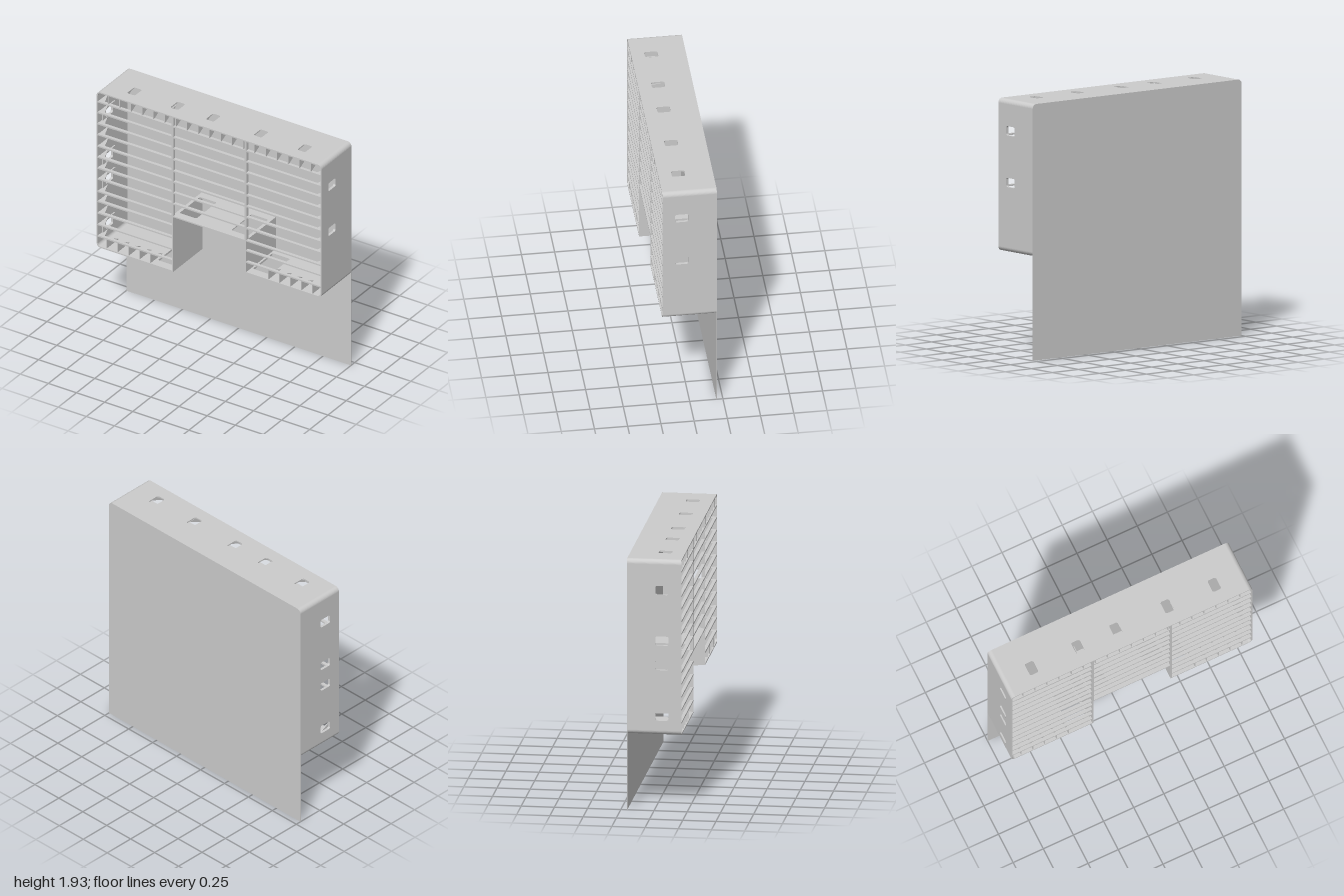
import * as THREE from 'three';

export function createModel() {
  const model = new THREE.Group();
  const mat = new THREE.MeshStandardMaterial({ color: 0xcccccc, side: THREE.DoubleSide });
  const T = 0.01, R = 0.035, D = 0.205, TOP = 1.935, MID = 0.33;
  const FLOOR = { '-1': 0.585, '1': 0.785 }; // underside of each side bay
  const CENTRE = 1.07;

  const add = (name, geo) => {
    const mesh = new THREE.Mesh(geo, mat);
    mesh.name = name;
    model.add(mesh);
    return mesh;
  };
  const box = (name, x0, x1, y0, y1, z0, z1) =>
    add(name, new THREE.BoxGeometry(x1 - x0, y1 - y0, z1 - z0)
      .translate((x0 + x1) / 2, (y0 + y1) / 2, (z0 + z1) / 2));

  // rectangle with rounded corners, used for plates and their openings
  const rect = (path, a0, a1, b0, b1, r) => {
    path.absarc(a1 - r, b1 - r, r, 0, Math.PI / 2);
    path.absarc(a0 + r, b1 - r, r, Math.PI / 2, Math.PI);
    path.absarc(a0 + r, b0 + r, r, Math.PI, Math.PI * 1.5);
    path.absarc(a1 - r, b0 + r, r, Math.PI * 1.5, Math.PI * 2);
    path.closePath();
    return path;
  };
  const plate = (a0, a1, b0, b1, holes, depth) => {
    const s = new THREE.Shape([[a0, b0], [a1, b0], [a1, b1], [a0, b1]].map(p => new THREE.Vector2(...p)));
    for (const h of holes) s.holes.push(rect(new THREE.Path(), ...h, 0.014));
    return new THREE.ExtrudeGeometry(s, { depth, bevelEnabled: false, curveSegments: 4 });
  };
  // horizontal plate: holes given as [x0, x1, z0, z1], y is the underside
  const deck = (name, x0, x1, y, holes = [], z0 = -D, z1 = D, t = T) =>
    add(name, plate(x0, x1, -z1, -z0, holes.map(h => [h[0], h[1], -h[3], -h[2]]), t)
      .rotateX(-Math.PI / 2).translate(0, y, 0));
  // upright side plate: holes given as [z0, z1, y0, y1], x is the lower x face
  const side = (name, x, y0, y1, holes = [], z0 = -D, z1 = D, t = T) =>
    add(name, plate(z0, z1, y0, y1, holes, t).rotateY(-Math.PI / 2).translate(x + t, 0, 0));
  // quarter-round corner running front to back
  const corner = (cx, cy, a) => {
    const s = new THREE.Shape();
    s.absarc(cx, cy, R, a, a + Math.PI / 2, false);
    s.absarc(cx, cy, R - T, a + Math.PI / 2, a, true);
    add('roundedCorner', new THREE.ExtrudeGeometry(s, { depth: 2 * D, bevelEnabled: false, curveSegments: 8 })
      .translate(0, 0, -D));
  };
  // thin triangular web in the (z, height) plane, tallest at the open front
  const web = (len, height) => {
    const s = new THREE.Shape();
    s.moveTo(D - len, 0);
    s.lineTo(D - 0.005, 0);
    s.lineTo(D - 0.005, height);
    s.closePath();
    return new THREE.ExtrudeGeometry(s, { depth: 0.006, bevelEnabled: false })
      .rotateY(-Math.PI / 2).translate(0.003, 0, 0);
  };

  // back panel, rounded only at the top
  const back = new THREE.Shape();
  back.moveTo(-1, 0);
  back.lineTo(1, 0);
  back.absarc(1 - R, TOP - R, R, 0, Math.PI / 2);
  back.absarc(-1 + R, TOP - R, R, Math.PI / 2, Math.PI);
  back.closePath();
  add('backPanel', new THREE.ExtrudeGeometry(back, { depth: 0.004, bevelEnabled: false, curveSegments: 8 })
    .translate(0, 0, -D));

  // top wall with its row of openings
  deck('topWall', -1 + R, 1 - R, TOP - T,
    [-0.76, -0.375, -0.06, 0.365, 0.755].map(x => [x - 0.035, x + 0.035, 0.005, 0.105]));
  corner(1 - R, TOP - R, 0);
  corner(-1 + R, TOP - R, Math.PI / 2);

  // centre floor above the recess
  deck('centreFloor', -MID, MID, CENTRE - T, [[-0.305, -0.155, -0.14, 0.14], [0.155, 0.305, -0.14, 0.14]]);

  const sideHoles = { '-1': [1.7, 1.31, 1.12, 0.73], '1': [1.7, 1.31] };
  const rows = [1.845, 1.752, 1.655, 1.56, 1.46, 1.365, 1.27, 1.175, 1.067, 0.98, 0.88, 0.78, 0.68];
  const pitch = 0.0975;

  for (const s of [-1, 1]) {
    const y0 = FLOOR[s];
    const span = (a, b) => (s > 0 ? [a, b] : [-b, -a]);

    // outer wall, with a raised pad inside around each opening
    const hole = y => [0.01, 0.11, y - 0.035, y + 0.035];
    side('sideWall', span(1 - T, 1)[0], y0 + R, TOP - R, sideHoles[s].map(hole));
    for (const y of sideHoles[s])
      side('openingPad', span(1 - 2 * T, 1 - T)[0], y - 0.048, y + 0.048, [hole(y)], -0.02, 0.15);

    // bay floor with its slot and the collar below it
    const slot = [...span(0.345, 0.5), -0.135, 0.135];
    deck('bayFloor', ...span(MID, 1 - R), y0, [slot]);
    deck('slotCollar', ...span(0.332, 0.515), y0 - 0.007, [slot], -0.145, 0.15, 0.007);
    corner(s * (1 - R), y0 + R, s > 0 ? Math.PI * 1.5 : Math.PI);

    // recess wall and the upright bar above it
    side('recessWall', span(MID - T, MID)[0], y0, CENTRE);
    box('uprightBar', ...span(0.317, 0.333), CENTRE, TOP - T, D - 0.025, D);

    // horizontal front bars of this bay, each braced against the outer wall
    for (const y of rows.filter(v => v > y0 + 0.05)) {
      box('crossBar', ...span(MID - 0.01, 1 - T), y - 0.006, y + 0.006, D - 0.025, D);
      const brace = add('sideBrace', web(0.15, 0.055));
      brace.rotation.z = s * Math.PI / 2;
      brace.position.set(s * (1 - T), y, 0);
    }
    // webs standing on the bay floor
    for (let i = 0; i < 5; i++)
      add('floorWeb', web(0.17, 0.088)).position.set(s * (0.525 + i * pitch), y0 + T, 0);
  }

  // front bars across the centre
  for (const y of rows.filter(v => v > CENTRE))
    box('crossBar', -MID, MID, y - 0.006, y + 0.006, D - 0.025, D);

  // webs hanging from the top wall
  for (let i = 0; i < 19; i++) {
    const w = add('topWeb', web(0.17, 0.08));
    w.rotation.z = Math.PI;
    w.position.set(-0.9 + i * 0.1, TOP - T, 0);
  }

  return model;
}
